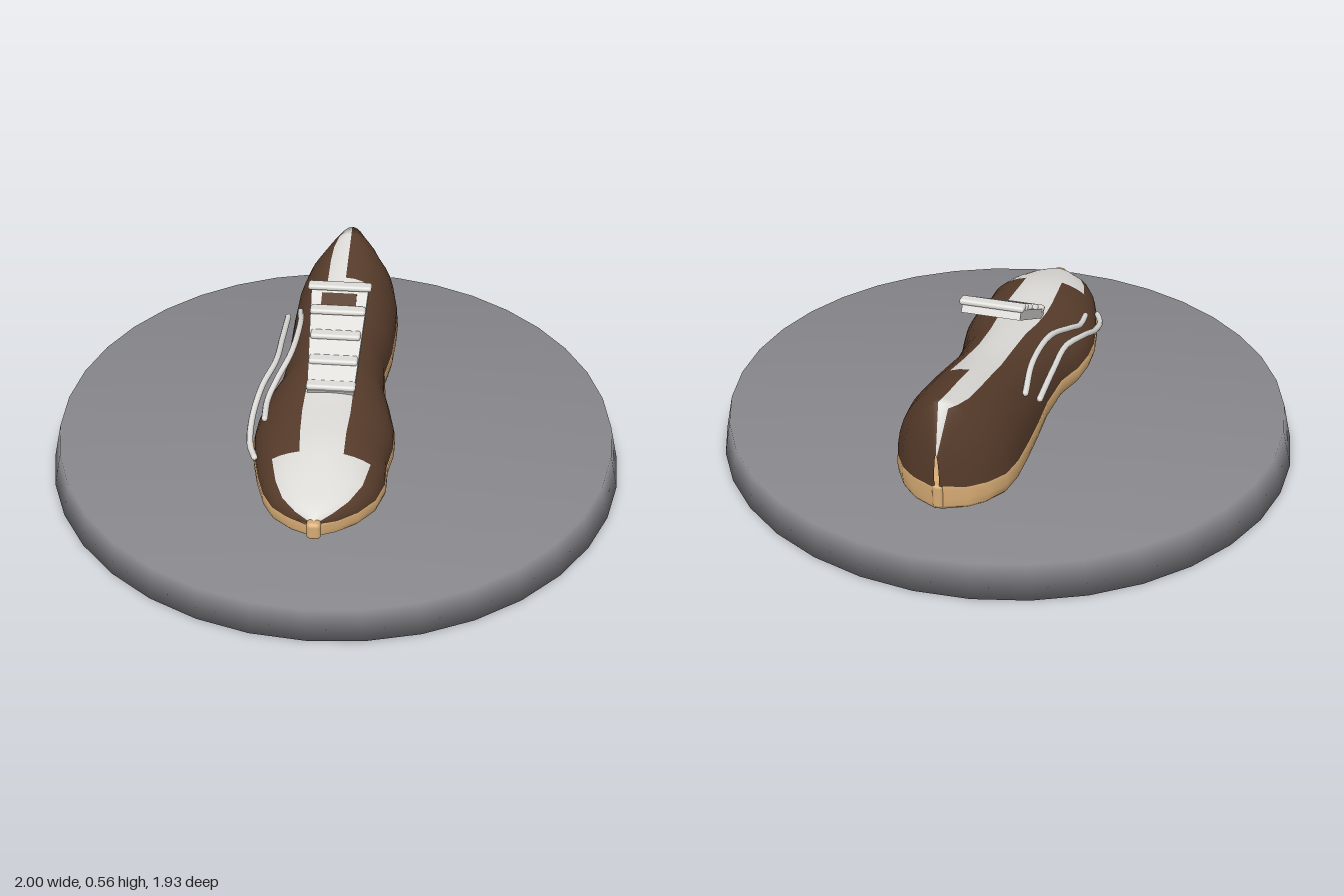
import * as THREE from 'three';
import { mergeVertices } from 'three/addons/utils/BufferGeometryUtils.js';
import { RoundedBoxGeometry } from 'three/addons/geometries/RoundedBoxGeometry.js';

function mat(name, color) {
  const m = new THREE.MeshStandardMaterial({ color });
  m.name = name;
  return m;
}

// Toe to heel: z, half width on -x, half width on +x, upper top, sole bottom, sole top
const SECTIONS = [
  [0.725, 0.01, 0.01, 0.26, 0.2, 0.245],
  [0.69, 0.08, 0.07, 0.28, 0.19, 0.24],
  [0.64, 0.14, 0.13, 0.295, 0.18, 0.235],
  [0.57, 0.18, 0.18, 0.312, 0.172, 0.228],
  [0.48, 0.21, 0.205, 0.335, 0.163, 0.22],
  [0.38, 0.235, 0.205, 0.345, 0.155, 0.213],
  [0.28, 0.25, 0.22, 0.348, 0.145, 0.21],
  [0.2, 0.25, 0.22, 0.35, 0.14, 0.207],
  [0.1, 0.235, 0.2, 0.36, 0.136, 0.206],
  [0, 0.2, 0.175, 0.373, 0.133, 0.206],
  [-0.15, 0.19, 0.165, 0.39, 0.133, 0.208],
  [-0.28, 0.195, 0.185, 0.41, 0.133, 0.21],
  [-0.41, 0.197, 0.192, 0.44, 0.133, 0.213],
  [-0.52, 0.195, 0.193, 0.462, 0.133, 0.216],
  [-0.6, 0.18, 0.18, 0.475, 0.133, 0.218],
  [-0.66, 0.14, 0.14, 0.487, 0.133, 0.22],
  [-0.7, 0.09, 0.09, 0.495, 0.133, 0.22],
  [-0.735, 0.008, 0.008, 0.33, 0.135, 0.22],
];

// Skin a list of rings; pick(i, j) gives the material index of each quad
function loft(rings, pick) {
  const n = rings[0].length;
  const pos = rings.flat(2);
  const faces = [[], []];
  for (let i = 0; i < rings.length - 1; i++) {
    for (let j = 0; j < n - 1; j++) {
      const a = i * n + j, b = a + 1, c = a + n, d = c + 1;
      faces[pick(i, j)].push(a, c, b, b, c, d);
    }
  }
  const g = new THREE.BufferGeometry();
  g.setAttribute('position', new THREE.Float32BufferAttribute(pos, 3));
  g.setIndex(faces.flat());
  g.addGroup(0, faces[0].length, 0);
  g.addGroup(faces[0].length, faces[1].length, 1);
  g.computeVertexNormals();
  return g;
}

export function createModel() {
  const root = new THREE.Group();
  const grey = mat('stone grey', 0x88878c);
  const brown = mat('dark brown', 0x573c2b);
  const white = mat('off white', 0xdfddd9);
  const tan = mat('tan', 0xd6ab74);

  function add(name, geometry, material, x = 0, y = 0, z = 0) {
    const m = new THREE.Mesh(geometry, material);
    m.name = name;
    m.position.set(x, y, z);
    root.add(m);
    return m;
  }

  // Display disc: round top, slightly wider foot along x, softly shaded
  let disc = new THREE.CylinderGeometry(0.965, 0.965, 0.13, 36);
  disc.deleteAttribute('normal');
  disc.deleteAttribute('uv');
  const p = disc.attributes.position;
  for (let i = 0; i < p.count; i++) {
    if (p.getY(i) < 0) p.setX(i, p.getX(i) / 0.965);
  }
  disc = mergeVertices(disc, 1e-4);
  disc.computeVertexNormals();
  add('displayDisc', disc, grey, 0, 0.065, 0);

  // Upper: half-ellipse sections, with white toe cap, throat and half heel strip
  const STEPS = 18;
  const upperRings = SECTIONS.map(([z, l, r, top, , base]) => {
    const ring = [];
    for (let j = 0; j <= STEPS; j++) {
      const a = (j / STEPS) * Math.PI;
      const c = Math.cos(a);
      ring.push([c * (c > 0 ? r : l) * 0.985, base - 0.01 + Math.sin(a) * (top - base + 0.01), z]);
    }
    return ring;
  });
  const upper = loft(upperRings, (i, j) => {
    const z = SECTIONS[i][0];
    if (z > 0.48) return j >= 4 && j < 14 ? 1 : 0;
    if (z > -0.41) return j >= 7 && j < 11 ? 1 : 0;
    return j >= 9 && j < 11 ? 1 : 0;
  });
  add('upper', upper, [brown, white]);

  // Sole: rounded band following the same outline
  const PROFILE = [[0.92, 0], [0.98, 0.12], [1, 0.4], [1, 0.8], [0.95, 1],
    [-0.95, 1], [-1, 0.8], [-1, 0.4], [-0.98, 0.12], [-0.92, 0], [0.92, 0]];
  const soleRings = SECTIONS.map(([z, l, r, , low, high]) =>
    PROFILE.map(([u, t]) => [u * (u > 0 ? r : l), low + t * (high - low), z]));
  add('sole', loft(soleRings, () => 0), [tan, tan]);
  add('toeBumper', new RoundedBoxGeometry(0.045, 0.062, 0.035, 3, 0.014), tan, 0, 0.23, 0.728);
  add('heelBumper', new RoundedBoxGeometry(0.035, 0.085, 0.035, 3, 0.012), tan, 0, 0.178, -0.722);

  // Tongue: tapered slab rising towards the heel
  const s = new THREE.Shape();
  s.moveTo(-0.078, -0.21);
  s.lineTo(0.078, -0.21);
  s.lineTo(0.1, 0.205);
  s.lineTo(-0.1, 0.205);
  s.closePath();
  const slab = new THREE.ExtrudeGeometry(s, { depth: 0.034, bevelEnabled: false });
  slab.translate(0, 0, -0.017);
  slab.rotateX(-Math.PI / 2);
  const TILT = Math.atan(0.5);
  add('tongue', slab, white, 0, 0.44, 0).rotation.x = TILT;
  const patch = add('tonguePatch', new THREE.BoxGeometry(0.12, 0.006, 0.065), brown, 0, 0.518, -0.115);
  patch.rotation.x = TILT;

  // Lace bars stepping up the tongue
  for (let i = 0; i < 5; i++) {
    const z = 0.175 - i * 0.085;
    const width = [0.165, 0.165, 0.17, 0.19, 0.22][i];
    add('laceBar', new RoundedBoxGeometry(width, 0.02, 0.042, 3, 0.009), white, 0, 0.462 - 0.53 * z, z);
  }

  // Curved side strands on the -x flank
  const strands = {
    lowerSideStrand: [[-0.205, 0.315, -0.32], [-0.205, 0.33, -0.15], [-0.208, 0.335, 0],
      [-0.24, 0.315, 0.13], [-0.256, 0.275, 0.25], [-0.248, 0.25, 0.36], [-0.225, 0.245, 0.42]],
    upperSideStrand: [[-0.16, 0.335, -0.33], [-0.145, 0.37, -0.2], [-0.155, 0.37, 0],
      [-0.19, 0.34, 0.12], [-0.21, 0.315, 0.2], [-0.208, 0.305, 0.29]],
  };
  for (const [name, pts] of Object.entries(strands)) {
    const curve = new THREE.CatmullRomCurve3(pts.map((q) => new THREE.Vector3(...q)));
    add(name, new THREE.TubeGeometry(curve, 32, 0.011, 8), white);
    for (const end of [pts[0], pts[pts.length - 1]]) {
      add(name + 'End', new THREE.SphereGeometry(0.011, 8, 6), white, ...end);
    }
  }

  return root;
}
